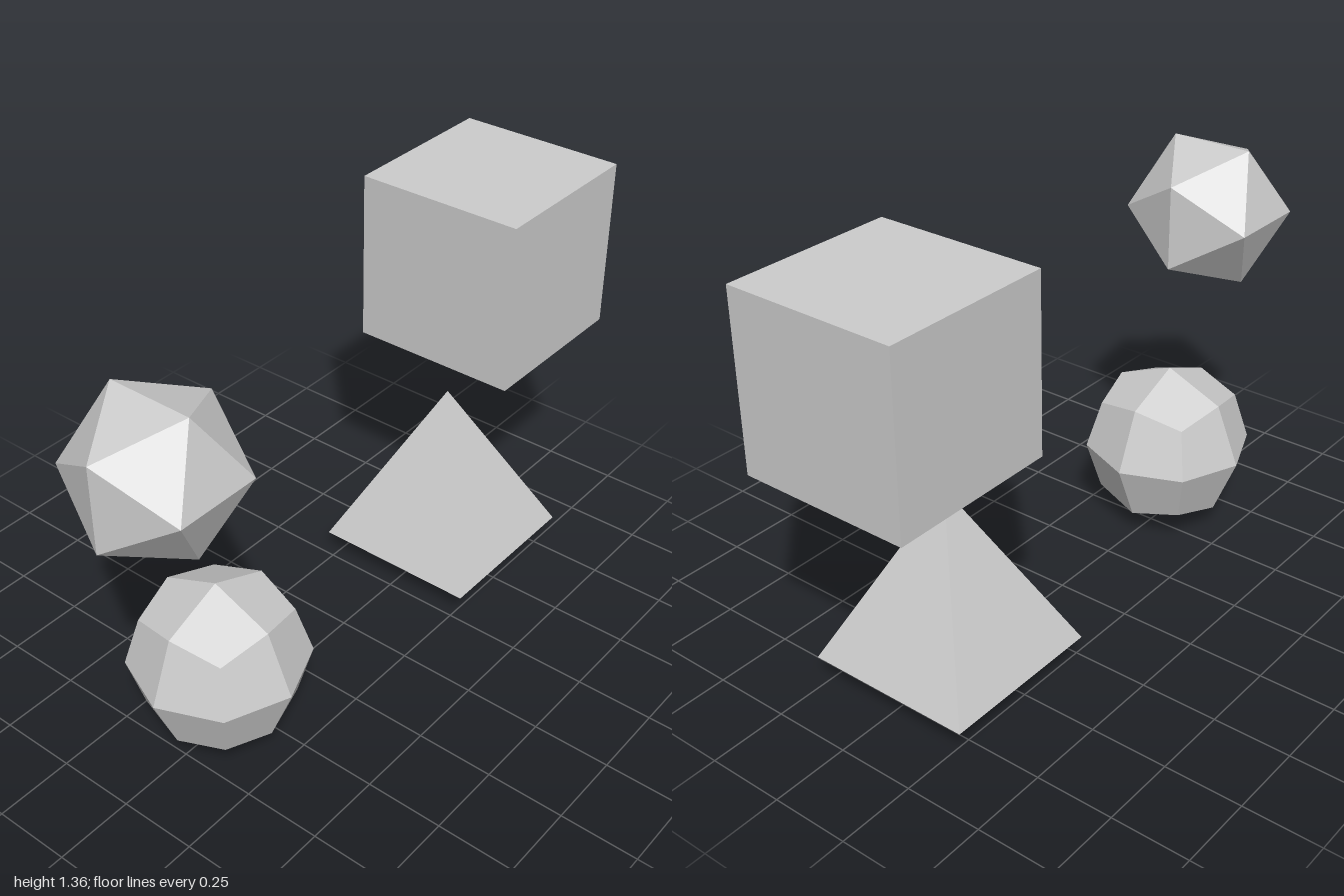
import * as THREE from 'three';

const grey = new THREE.MeshStandardMaterial({ color: 0xcccccc, flatShading: true });
const greyFacets = new THREE.MeshStandardMaterial({ color: 0xcccccc });

const HALF = 0.278; // half width shared by the cube, pyramid and faceted ball

// Ball of 24 kite-shaped facets: three kites in each octant, with all corners on a sphere.
function facetedBall(radius) {
  const positions = [], normals = [];
  for (const sx of [-1, 1]) for (const sy of [-1, 1]) for (const sz of [-1, 1]) {
    const point = (x, y, z) => new THREE.Vector3(x * sx, y * sy, z * sz).setLength(radius);
    for (let axis = 0; axis < 3; axis++) {
      const cycle = (a, b, c) => {
        const v = [0, 0, 0];
        [a, b, c].forEach((n, i) => { v[(axis + i) % 3] = n; });
        return point(...v);
      };
      const pole = cycle(1, 0, 0), corner = cycle(1, 1, 1);
      let e1 = cycle(1, 1, 0), e2 = cycle(1, 0, 1);
      if (sx * sy * sz < 0) [e1, e2] = [e2, e1]; // keep the winding outward when mirrored
      const normal = corner.clone().sub(pole).cross(e2.clone().sub(e1)).normalize();
      for (const p of [pole, e1, corner, pole, corner, e2]) {
        positions.push(p.x, p.y, p.z);
        normals.push(normal.x, normal.y, normal.z);
      }
    }
  }
  const geometry = new THREE.BufferGeometry();
  geometry.setAttribute('position', new THREE.Float32BufferAttribute(positions, 3));
  geometry.setAttribute('normal', new THREE.Float32BufferAttribute(normals, 3));
  return geometry;
}

export function createModel() {
  const model = new THREE.Group();
  model.name = 'geometricSolids';

  const add = (name, geometry, y, z, material = grey) => {
    const mesh = new THREE.Mesh(geometry, material);
    mesh.name = name;
    mesh.position.set(0, y, z);
    model.add(mesh);
  };

  // Upper back: cube
  add('cube', new THREE.BoxGeometry(2 * HALF, 2 * HALF, 2 * HALF), 1.079, -0.722);

  // Lower back: square pyramid, sides facing the axes
  const pyramid = new THREE.ConeGeometry(HALF * Math.SQRT2, 2 * HALF, 4).rotateY(Math.PI / 4);
  add('pyramid', pyramid, 0.36, -0.54);

  // Upper front: icosahedron
  add('icosahedron', new THREE.IcosahedronGeometry(0.264), 1.065, 0.775);

  // Lower front: faceted ball
  add('facetedBall', facetedBall(HALF), 0.28, 0.583, greyFacets);

  return model;
}
